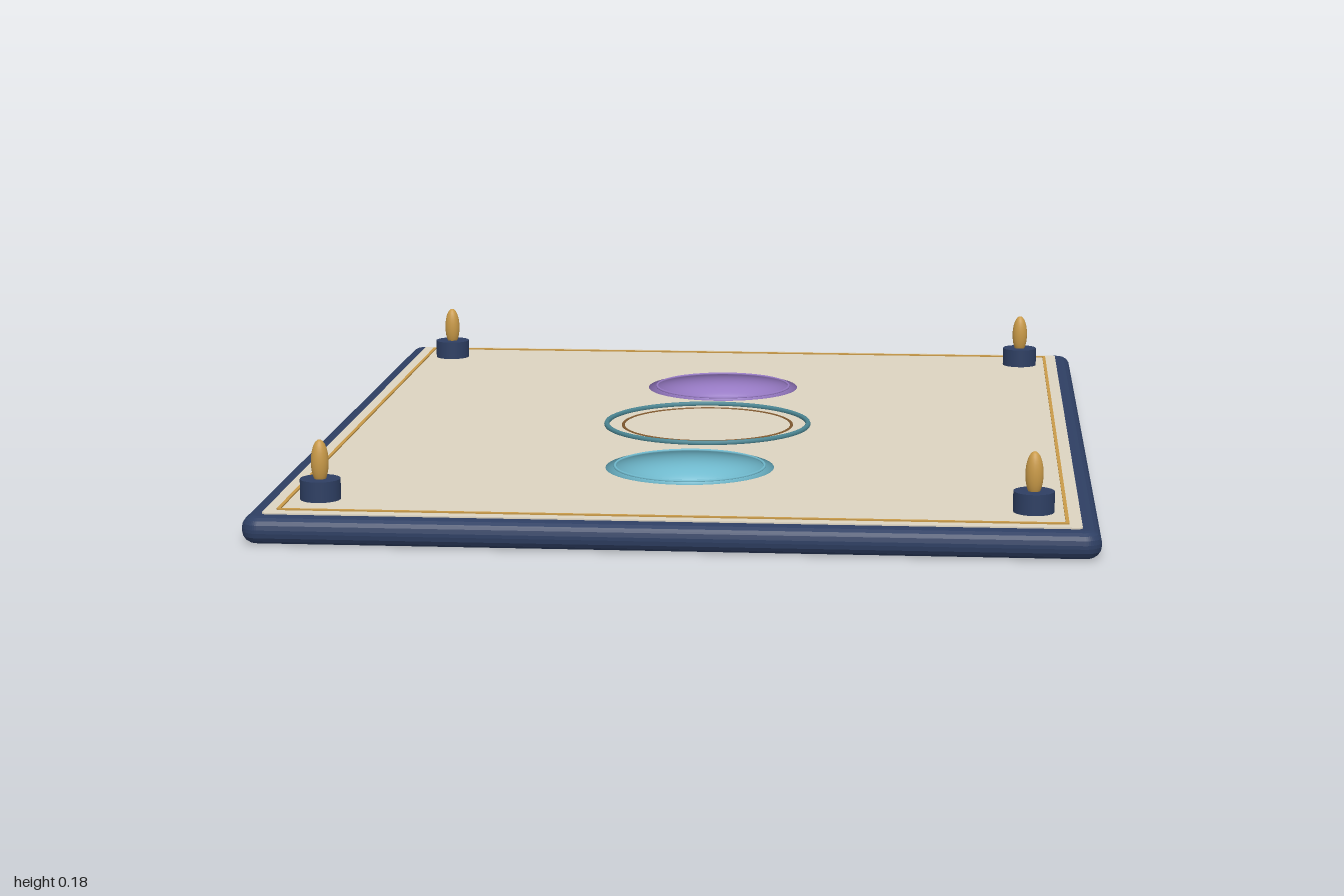
import * as THREE from 'three';

const mat = (color) => new THREE.MeshStandardMaterial({ color });
const navy = mat(0x2e3f63), cream = mat(0xdcd3c0), gold = mat(0xc99a48);
const purple = mat(0x977ac4), teal = mat(0x70bace), darkTeal = mat(0x4b8592), bronze = mat(0x80592f);

// Rounded rectangle outline, half sizes w and d, corner radius r
function roundedRect(w, d, r, Type = THREE.Shape) {
  const s = new Type();
  s.absarc(w - r, d - r, r, 0, Math.PI / 2);
  s.absarc(-w + r, d - r, r, Math.PI / 2, Math.PI);
  s.absarc(-w + r, -d + r, r, Math.PI, Math.PI * 1.5);
  s.absarc(w - r, -d + r, r, Math.PI * 1.5, Math.PI * 2);
  s.closePath();
  return s;
}

// Flat plate lying between y0 and y1, with optional rounded edge
function plate(shape, y0, y1, bevel = 0) {
  const geo = new THREE.ExtrudeGeometry(shape, {
    depth: y1 - y0 - 2 * bevel, curveSegments: 6,
    bevelEnabled: bevel > 0, bevelThickness: bevel, bevelSize: bevel, bevelSegments: 4,
  });
  geo.rotateX(-Math.PI / 2);
  geo.translate(0, y0 + bevel, 0);
  return geo;
}

export function createModel() {
  const model = new THREE.Group();
  const add = (name, geo, material, x = 0, y = 0, z = 0, parent = model) => {
    const mesh = new THREE.Mesh(geo, material);
    mesh.name = name;
    mesh.position.set(x, y, z);
    parent.add(mesh);
    return mesh;
  };
  const ring = (name, r, tube, material, y, z = 0) =>
    add(name, new THREE.TorusGeometry(r, tube, 8, 72).rotateX(Math.PI / 2), material, 0, y, z);

  // Board with rounded edges, cream surface and thin gold border line
  add('boardBase', plate(roundedRect(0.82, 0.975, 0.012), 0, 0.055, 0.024), navy);
  add('boardSurface', plate(roundedRect(0.807, 0.96, 0.01), 0.05, 0.058), cream);
  const border = roundedRect(0.782, 0.934, 0.006);
  border.holes.push(roundedRect(0.775, 0.927, 0.004, THREE.Path));
  add('borderLine', plate(border, 0.055, 0.061), gold);

  // Centre circle
  ring('centreRing', 0.227, 0.006, darkTeal, 0.061);
  ring('centreInnerRing', 0.19, 0.004, bronze, 0.0565);

  // Two shallow discs: flattened domes that keep full round normals for a domed look
  for (const [name, material, z] of [['frontDisc', teal, 0.46], ['backDisc', purple, -0.46]]) {
    const dome = new THREE.SphereGeometry(0.18, 48, 16, 0, Math.PI * 2, 0, Math.PI / 2);
    const pos = dome.attributes.position;
    for (let i = 0; i < pos.count; i++) pos.setY(i, pos.getY(i) * 0.04);
    add(name, dome, material, 0, 0.057, z);
    ring(name + 'Ring', 0.158, 0.003, material, 0.0615, z);
  }

  // Corner posts: round foot with a pointed gold finial
  for (const x of [-0.715, 0.715]) for (const z of [-0.825, 0.825]) {
    const post = new THREE.Group();
    post.name = 'cornerPost';
    post.position.set(x, 0, z);
    model.add(post);
    add('postFoot', new THREE.CylinderGeometry(0.041, 0.041, 0.048, 24), navy, 0, 0.076, 0, post);
    add('postFinial', new THREE.SphereGeometry(1, 20, 14).scale(0.018, 0.046, 0.018), gold, 0, 0.134, 0, post);
  }
  return model;
}
